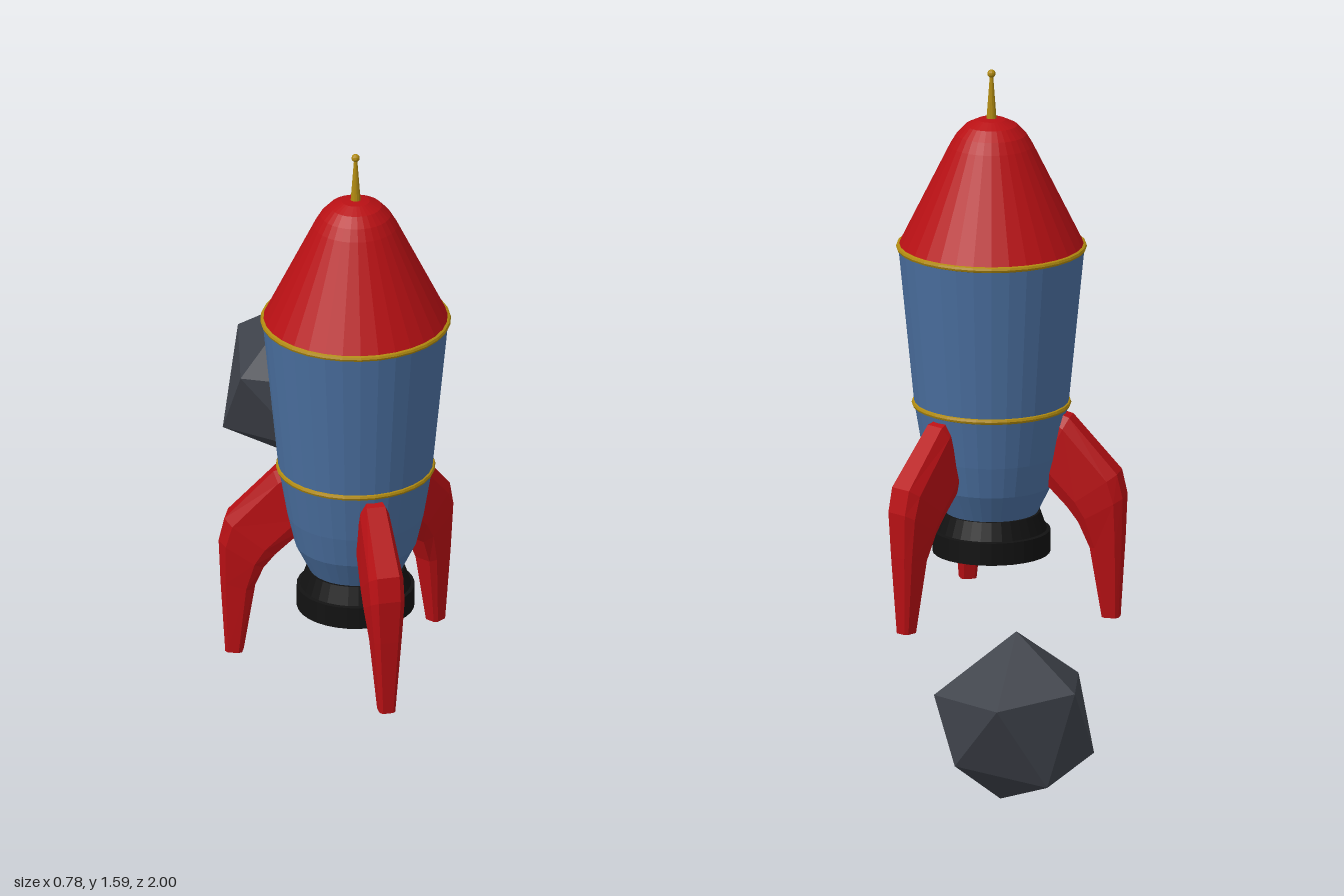
import * as THREE from 'three';
import { ConvexGeometry } from 'three/addons/geometries/ConvexGeometry.js';

const material = (color) => new THREE.MeshStandardMaterial({ color, flatShading: true });
const RED = material(0xb81014), BLUE = material(0x4a6f9f), GOLD = material(0xb08a10);
const DARK = material(0x121212), ROCK = material(0x3e424a);

function add(parent, name, geometry, mat, y = 0) {
  const mesh = new THREE.Mesh(geometry, mat);
  mesh.name = name;
  mesh.position.y = y;
  parent.add(mesh);
  return mesh;
}

const lathe = (profile, sides = 32) =>
  new THREE.LatheGeometry(profile.map(([r, y]) => new THREE.Vector2(r, y)), sides);

// Fin pointing along +z: chamfered cross-sections lofted from foot to root
function finGeometry() {
  // outer z, outer y, inner z, inner y, half width
  const sections = [
    [0.345, 0.12, 0.30, 0.12, 0.021],
    [0.356, 0.33, 0.27, 0.31, 0.037],
    [0.36, 0.45, 0.24, 0.38, 0.046],
    [0.345, 0.515, 0.21, 0.42, 0.047],
    [0.215, 0.66, 0.13, 0.50, 0.039],
    [0.17, 0.675, 0.10, 0.58, 0.025],
  ];
  // corner positions: fraction along the section's depth, fraction of width
  const corners = [
    [1, -0.65], [1, 0.65], [0.82, 1], [0.18, 1],
    [0, 0.65], [0, -0.65], [0.18, -1], [0.82, -1],
  ];
  const n = corners.length, positions = [], index = [];
  for (const [oz, oy, iz, iy, w] of sections)
    for (const [d, s] of corners)
      positions.push(s * w, iy + (oy - iy) * d, iz + (oz - iz) * d);
  for (let i = 0; i < sections.length - 1; i++)
    for (let j = 0; j < n; j++) {
      const a = i * n + j, b = i * n + (j + 1) % n;
      index.push(a, b, b + n, a, b + n, a + n);
    }
  const last = (sections.length - 1) * n;
  for (let j = 1; j < n - 1; j++)
    index.push(0, j + 1, j, last, last + j, last + j + 1);
  const geometry = new THREE.BufferGeometry();
  geometry.setAttribute('position', new THREE.Float32BufferAttribute(positions, 3));
  geometry.setIndex(index);
  geometry.computeVertexNormals();
  return geometry;
}

function createRocket() {
  const rocket = new THREE.Group();
  rocket.name = 'rocket';

  add(rocket, 'hull', lathe([
    [0, 0.385], [0.12, 0.385], [0.16, 0.465], [0.18, 0.55], [0.203, 0.685], [0.245, 1.11],
  ]), BLUE);
  add(rocket, 'noseCone', lathe([
    [0, 1.11], [0.246, 1.11], [0.11, 1.385], [0.092, 1.415], [0.068, 1.44], [0.037, 1.455], [0, 1.46],
  ]), RED);

  // Trim bands around the hull
  for (const [name, radius, y] of [['upperBand', 0.243, 1.11], ['lowerBand', 0.202, 0.685]])
    add(rocket, name, new THREE.TorusGeometry(radius, 0.008, 8, 32).rotateX(Math.PI / 2), GOLD, y);

  // Antenna
  add(rocket, 'antenna', new THREE.CylinderGeometry(0.004, 0.014, 0.13, 12), GOLD, 1.515);
  add(rocket, 'antennaTip', new THREE.SphereGeometry(0.011, 12, 8), GOLD, 1.579);

  // Hollow exhaust nozzle
  add(rocket, 'nozzle', lathe([
    [0, 0.37], [0.10, 0.37], [0.13, 0.28], [0.155, 0.28], [0.155, 0.34],
    [0.146, 0.342], [0.129, 0.39], [0, 0.39],
  ]), DARK);

  // Three landing fins
  const fin = finGeometry();
  for (const [name, degrees] of [['frontFin', 0], ['leftFin', 125], ['rightFin', -114]])
    add(rocket, name, fin, RED).rotation.y = THREE.MathUtils.degToRad(degrees);

  rocket.position.set(-0.05, 0, 0.64);
  return rocket;
}

// Irregular twenty-sided boulder: two tips and two rings of five
function rockGeometry() {
  return new ConvexGeometry([
    [0.17, 0.465, -0.81],
    [0.385, 0.295, -0.78], [0.21, 0.30, -0.59], [-0.02, 0.31, -0.69],
    [0.045, 0.33, -0.97], [0.26, 0.30, -1.0],
    [0.30, 0.14, -0.69], [0.14, 0.12, -0.615], [-0.04, 0.12, -0.80],
    [0.12, 0.08, -0.975], [0.345, 0.12, -0.86],
    [0.205, 0.0, -0.77],
  ].map((p) => new THREE.Vector3(...p)));
}

export function createModel() {
  const model = new THREE.Group();
  model.name = 'rocketAndAsteroid';
  model.add(createRocket());
  add(model, 'asteroid', rockGeometry(), ROCK);
  return model;
}
